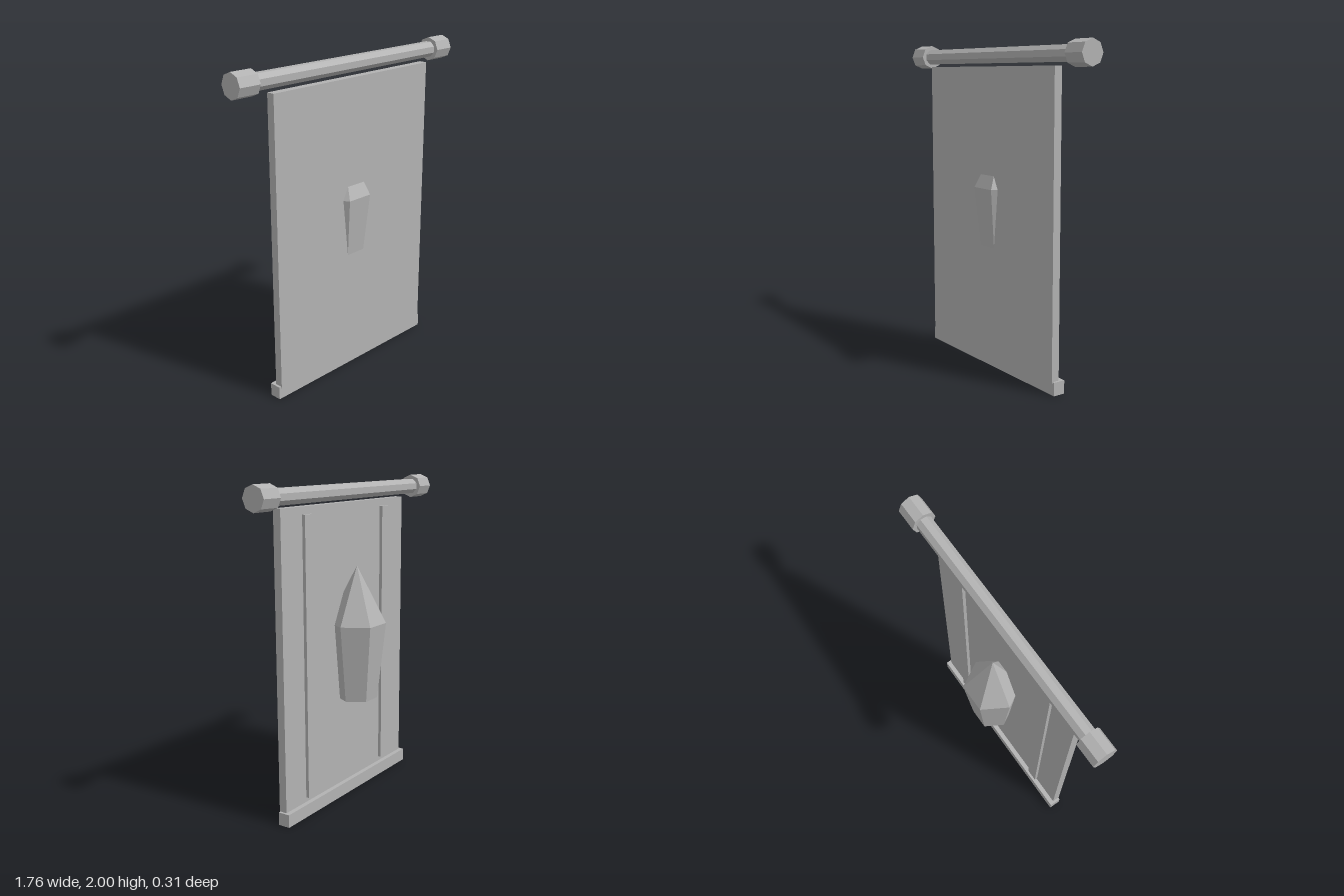
import * as THREE from 'three';

export function createModel() {
  const group = new THREE.Group();
  const grey = new THREE.MeshStandardMaterial({ color: 0xb2b2b2, flatShading: true });
  grey.name = 'grey';

  const add = (name, geometry, x, y, z) => {
    const mesh = new THREE.Mesh(geometry, grey);
    mesh.name = name;
    mesh.position.set(x, y, z);
    group.add(mesh);
  };
  // Octagonal bar lying along x
  const bar = (radius, length, turn) =>
    new THREE.CylinderGeometry(radius, radius, length, 8).rotateY(turn).rotateZ(Math.PI / 2);

  // Hanging rod with thicker end caps
  const rodY = 1.926, rodZ = 0.06;
  add('rod', bar(0.05, 1.5, Math.PI / 8), 0, rodY, rodZ);

  // Banner panel and the weight along its lower edge
  add('banner', new THREE.BoxGeometry(1.29, 1.79, 0.05), 0, 0.965, 0.096);
  add('bottomWeight', new THREE.BoxGeometry(1.32, 0.08, 0.075), 0, 0.04, 0.079);

  // Mirrored end caps and back battens
  for (const [side, s] of [['left', 1], ['right', -1]]) {
    add(side + 'EndCap', bar(0.074, 0.14, 0), s * 0.81, rodY, rodZ);
    add(side + 'Batten', new THREE.BoxGeometry(0.08, 1.705, 0.03), s * 0.41, 0.9625, 0.066);
  }

  // Six-sided crystal piercing the panel
  const profile = [[0, 0.61], [0.127, 0.645], [0.18, 1.125], [0, 1.48]]
    .map(([r, y]) => new THREE.Vector2(r, y));
  add('crystal', new THREE.LatheGeometry(profile, 6, Math.PI / 2), 0, 0, 0);

  return group;
}
